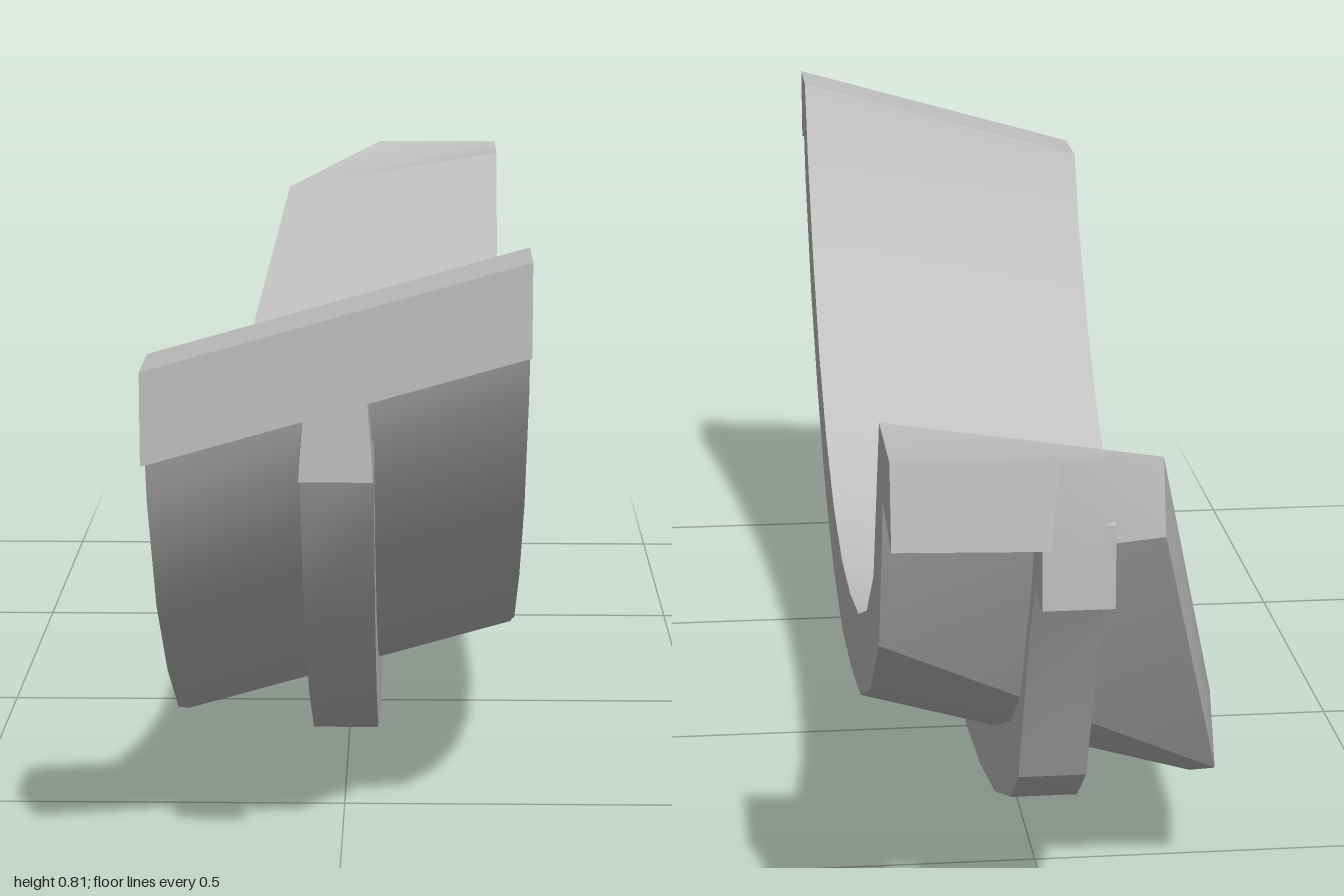
import * as THREE from 'three';
import { toCreasedNormals } from 'three/addons/utils/BufferGeometryUtils.js';

const HALF = 0.228;    // half width of the band
const SHEAR = 0.13;    // how far the right-hand edge drops below the left-hand one

// Loft four-cornered rings [topRight, topLeft, bottomLeft, bottomRight] with closed ends
function loft(rings, crease) {
  const pos = [];
  const tri = (a, b, c) => {
    const same = (p, q) => p.every((v, i) => v === q[i]);
    if (!same(a, b) && !same(b, c) && !same(a, c)) pos.push(...a, ...b, ...c);
  };
  const quad = (a, b, c, d) => { tri(a, b, c); tri(a, c, d); };
  for (let i = 0; i < rings.length - 1; i++) {
    const r = rings[i], s = rings[i + 1];
    for (let k = 0; k < 4; k++) {
      const n = (k + 1) % 4;
      quad(r[k], r[n], s[n], s[k]);
    }
  }
  const [p, q, r, s] = rings[0];
  quad(s, r, q, p);
  quad(...rings[rings.length - 1]);
  const g = new THREE.BufferGeometry();
  g.setAttribute('position', new THREE.Float32BufferAttribute(pos, 3));
  return toCreasedNormals(g, crease);
}

export function createModel() {
  const group = new THREE.Group();
  const grey = new THREE.MeshStandardMaterial({ color: 0xc0c0c0 });
  grey.name = 'light grey';

  // Curved band: [z, y] of the inner and outer profile at the high edge
  const inner = [[1, 0.812], [0.88, 0.812], [0.82, 0.70], [0.70, 0.56], [0.55, 0.43], [0.38, 0.345], [0.2, 0.29],
    [0, 0.27], [-0.2, 0.285], [-0.38, 0.32], [-0.55, 0.385], [-0.69, 0.48], [-0.82, 0.72], [-0.985, 0.72]];
  const outer = [[1, 0.70], [0.94, 0.72], [0.91, 0.64], [0.78, 0.475], [0.61, 0.345], [0.42, 0.24], [0.22, 0.18],
    [0, 0.157], [-0.2, 0.175], [-0.4, 0.21], [-0.6, 0.295], [-0.78, 0.42], [-0.87, 0.635], [-1, 0.615]];
  // Slanted cut at the back corner of the low edge
  const cutTop = { 12: [-0.12, 0.663, -0.81], 13: [0.03, 0.72, -0.985] };
  const cutBottom = { 12: [-0.115, 0.58, -0.87], 13: [0.04, 0.61, -1] };
  const low = (profile, cut, i) => {
    if (cut[i]) return cut[i];
    const [z, y] = profile[Math.min(i, 10)];
    return [-HALF, y - SHEAR, z];
  };
  const bandRings = inner.map(([z, y], i) => [
    low(inner, cutTop, i), [HALF, y, z], [HALF, outer[i][1], outer[i][0]], low(outer, cutBottom, i),
  ]);
  const band = new THREE.Mesh(loft(bandRings, 0.42), grey);
  band.name = 'curvedBand';
  group.add(band);

  // Rib under the band: [zTop, yTop, zBottom, yBottom], with a small hook at both ends
  const ribRings = [
    [0.99, 0.66, 0.99, 0.55], [0.93, 0.66, 0.94, 0.565], [0.90, 0.60, 0.90, 0.48], [0.78, 0.435, 0.78, 0.33],
    [0.61, 0.305, 0.61, 0.19], [0.42, 0.20, 0.41, 0.08], [0.22, 0.14, 0.21, 0.025], [0, 0.12, 0, 0],
    [-0.2, 0.135, -0.2, 0.02], [-0.4, 0.17, -0.4, 0.06], [-0.6, 0.255, -0.6, 0.135], [-0.70, 0.36, -0.69, 0.20],
    [-0.80, 0.50, -0.81, 0.435], [-0.87, 0.62, -0.87, 0.53], [-0.9, 0.625, -0.885, 0.515], [-0.94, 0.62, -0.94, 0.515],
  ].map(([zt, yt, zb, yb], i) => {
    const t = i < 2 ? 0.036 : 0.044, b = 0.044;
    return [[-t, yt, zt], [t, yt, zt], [b, yb, zb], [-b, yb, zb]];
  });
  const rib = new THREE.Mesh(loft(ribRings, 0.42), grey);
  rib.name = 'underRib';
  group.add(rib);

  return group;
}
